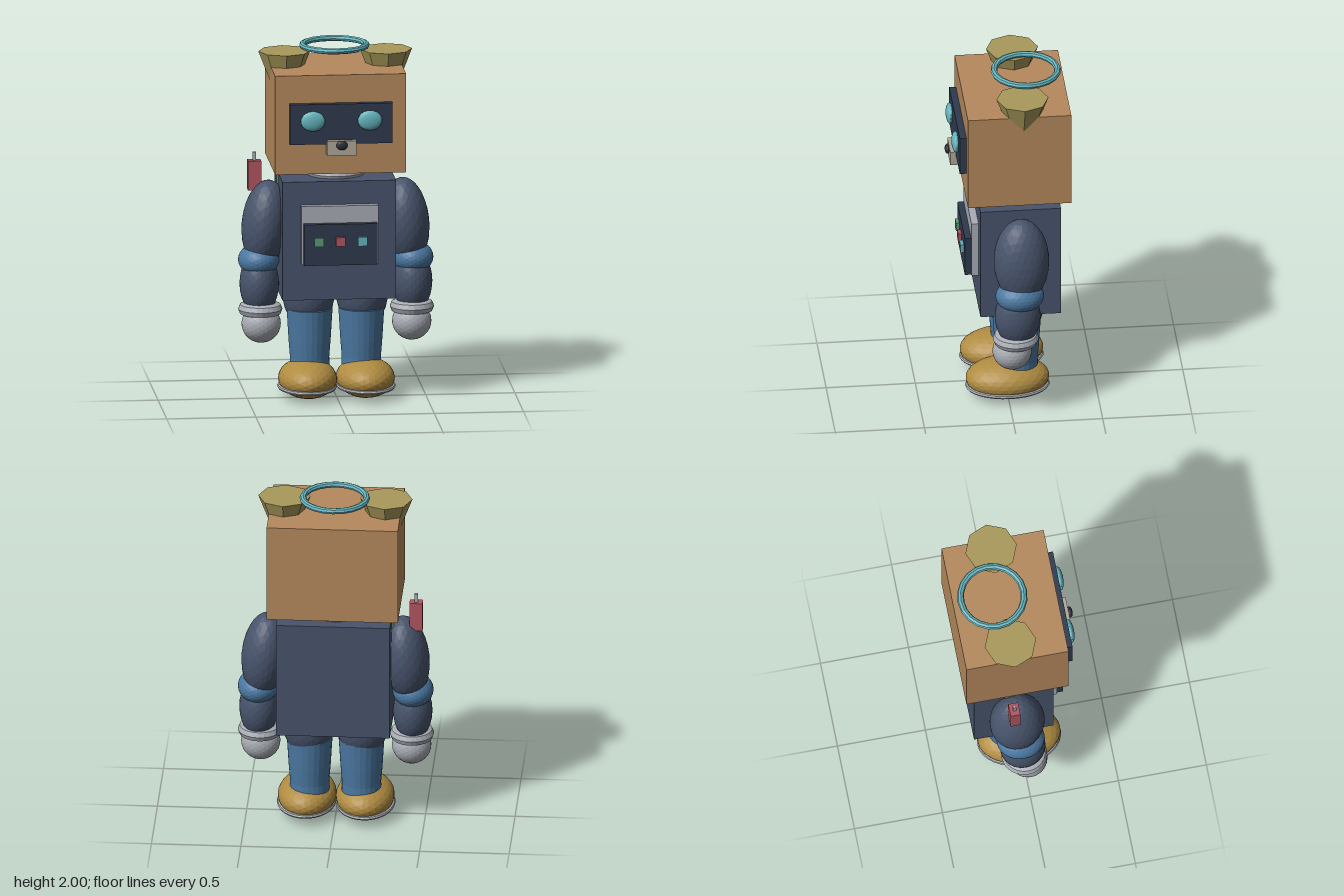
import * as THREE from 'three';

const COLORS = {
  tan: 0xb5895c, navy: 0x48546c, dark: 0x2f3a4e, blue: 0x4a77a0, gold: 0xb08c42, ochre: 0xa8995a,
  teal: 0x66b5bf, grey: 0xa9adb5, red: 0xb25560, green: 0x5a9a78, cream: 0xb0aa98, black: 0x2b2f3a,
};
const materials = {};
for (const key in COLORS) materials[key] = new THREE.MeshStandardMaterial({ color: COLORS[key], flatShading: true });

export function createModel() {
  const model = new THREE.Group();
  model.name = 'robotCostume';

  function add(parent, name, geometry, color, x, y, z) {
    const mesh = new THREE.Mesh(geometry, materials[color]);
    mesh.name = name;
    mesh.position.set(x, y, z);
    parent.add(mesh);
    return mesh;
  }
  // Box given by its limits on each axis
  const box = (parent, name, color, x0, x1, y0, y1, z0, z1) =>
    add(parent, name, new THREE.BoxGeometry(x1 - x0, y1 - y0, z1 - z0), color, (x0 + x1) / 2, (y0 + y1) / 2, (z0 + z1) / 2);
  // Faceted ellipsoid with radii rx, ry, rz
  const ball = (parent, name, color, x, y, z, rx, ry, rz) =>
    add(parent, name, new THREE.IcosahedronGeometry(1, 4).scale(rx, ry, rz), color, x, y, z);
  // Horizontal ring
  const ring = (parent, name, color, x, y, z, radius, tube, sx = 1, sy = 1, sz = 1, sides = 24) =>
    add(parent, name, new THREE.TorusGeometry(radius, tube, 8, sides).rotateX(Math.PI / 2).scale(sx, sy, sz), color, x, y, z);

  // Head
  const head = new THREE.Group();
  head.name = 'head';
  model.add(head);
  box(head, 'headBox', 'tan', -0.367, 0.367, 1.325, 1.888, -0.338, 0.242);
  box(head, 'visor', 'dark', -0.288, 0.288, 1.502, 1.73, 0.24, 0.28);
  box(head, 'snout', 'cream', -0.083, 0.083, 1.443, 1.525, 0.24, 0.312);
  ball(head, 'nose', 'black', 0, 1.502, 0.32, 0.032, 0.027, 0.015);
  ring(head, 'halo', 'teal', 0, 1.983, -0.12, 0.178, 0.019, 1, 0.9, 1, 20);

  // Neck and collar
  add(model, 'neck', new THREE.CylinderGeometry(0.12, 0.12, 0.12, 20), 'grey', 0, 1.285, -0.055);
  ring(model, 'collar', 'grey', 0, 1.28, -0.055, 0.115, 0.053);

  // Torso and control panel
  box(model, 'torso', 'navy', -0.318, 0.318, 0.59, 1.265, -0.285, 0.167);
  box(model, 'panelBack', 'grey', -0.215, 0.215, 0.8, 1.133, 0.16, 0.207);
  box(model, 'panelFront', 'dark', -0.206, 0.206, 0.802, 1.036, 0.2, 0.243);
  ['green', 'red', 'teal'].forEach((color, i) => {
    const x = (i - 1) * 0.122;
    box(model, 'button', color, x - 0.026, x + 0.026, 0.912, 0.963, 0.24, 0.262);
  });

  // Row of pens on the right shoulder
  ['red', 'green', 'red'].forEach((color, i) => {
    const x = -0.453 + i * 0.16;
    box(model, 'pen', color, x - 0.037, x + 0.037, 1.175, 1.342, -0.11, -0.055);
    box(model, 'penTip', 'grey', x - 0.009, x + 0.009, 1.34, 1.39, -0.091, -0.073);
  });

  // Shin profile, from ankle to knee
  const shin = new THREE.LatheGeometry(
    [[0, 0.14], [0.112, 0.16], [0.11, 0.22], [0.118, 0.32], [0.124, 0.42], [0.129, 0.5], [0, 0.505]]
      .map(([r, y]) => new THREE.Vector2(r, y)), 24);

  for (const side of [1, -1]) {
    const prefix = side > 0 ? 'left' : 'right';

    // Eye and ear
    ball(head, prefix + 'Eye', 'teal', side * 0.16, 1.636, 0.29, 0.068, 0.057, 0.023);
    const ear = new THREE.ConeGeometry(0.146, 0.375, 8).rotateX(Math.PI);
    add(head, prefix + 'Ear', ear, 'ochre', side * 0.285, 1.965 - 0.1875, -0.072);

    // Arm
    const arm = new THREE.Group();
    arm.name = prefix + 'Arm';
    model.add(arm);
    const upper = ball(arm, 'upperArm', 'navy', side * 0.395, 0.985, -0.055, 0.13, 0.25, 0.155);
    upper.rotation.z = side * 0.1;
    ball(arm, 'elbow', 'blue', side * 0.432, 0.783, -0.042, 0.115, 0.092, 0.136);
    ball(arm, 'forearm', 'navy', side * 0.43, 0.65, -0.03, 0.11, 0.18, 0.128);
    ring(arm, 'cuff', 'grey', side * 0.425, 0.507, -0.02, 0.087, 0.037, 1, 1, 1.04);
    ball(arm, 'hand', 'grey', side * 0.422, 0.427, 0, 0.11, 0.108, 0.11);

    // Leg
    const leg = new THREE.Group();
    leg.name = prefix + 'Leg';
    model.add(leg);
    ball(leg, 'thigh', 'navy', side * 0.15, 0.58, -0.068, 0.146, 0.2, 0.14);
    add(leg, 'shin', shin, 'blue', side * 0.145, 0, -0.055).scale.z = 1.06;

    // Boot with a thin rim round the sole
    ball(leg, 'boot', 'gold', side * 0.162, 0.11, 0, 0.164, 0.11, 0.235);
    ring(leg, 'soleRim', 'grey', side * 0.165, 0.065, 0, 0.92, 0.08, 0.166, 0.15, 0.237, 32);
  }
  return model;
}
